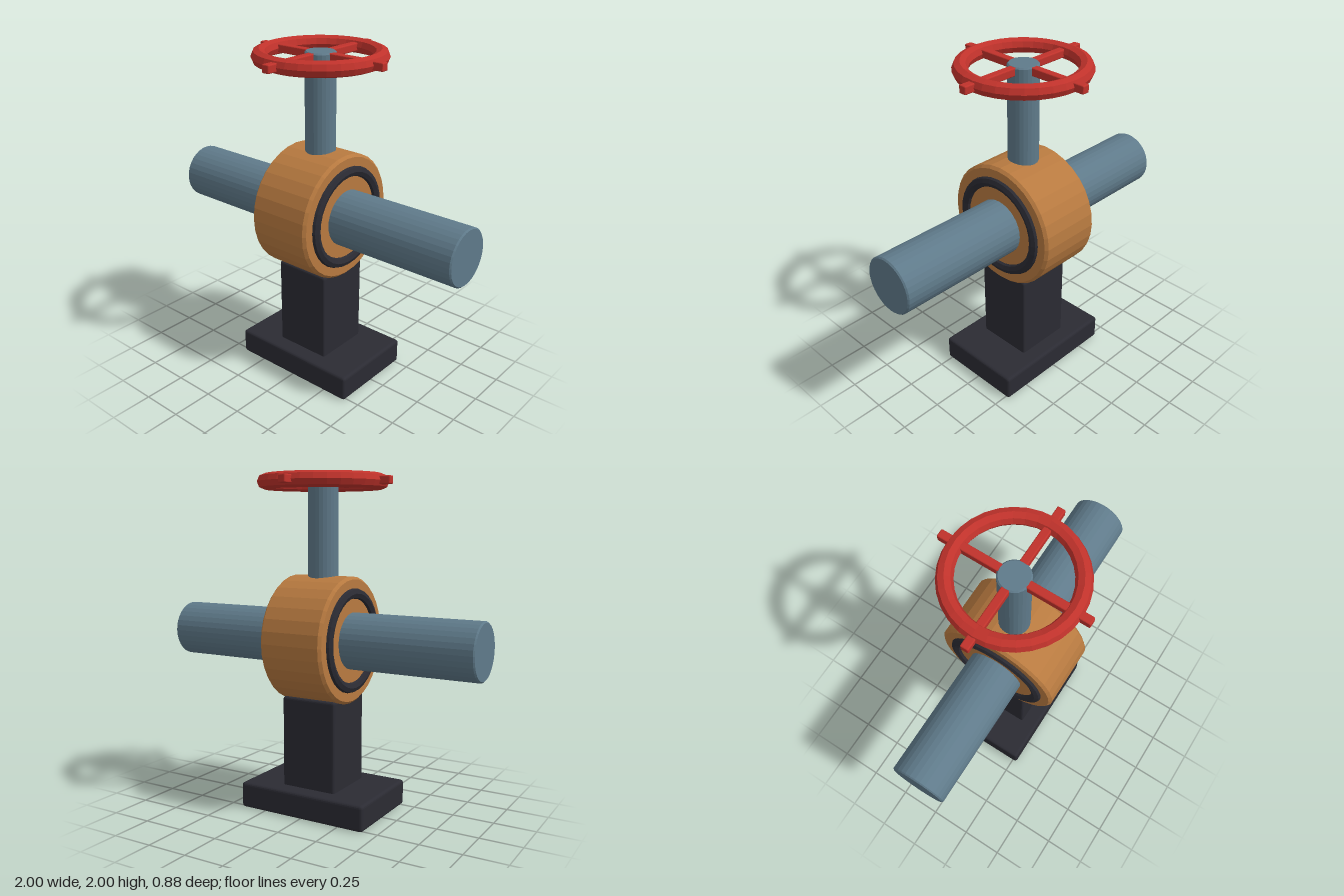
import * as THREE from 'three';
import { RoundedBoxGeometry } from 'three/addons/geometries/RoundedBoxGeometry.js';

const material = (name, color) => {
  const m = new THREE.MeshStandardMaterial({ color, flatShading: true });
  m.name = name;
  return m;
};

// Solid cylinder along y with small chamfers on both rims
function chamferedCylinder(radius, length, chamfer, sides) {
  const h = length / 2;
  const profile = [
    [0, -h], [radius - chamfer, -h], [radius, -h + chamfer],
    [radius, h - chamfer], [radius - chamfer, h], [0, h],
  ].map(([x, y]) => new THREE.Vector2(x, y));
  return new THREE.LatheGeometry(profile, sides);
}

export function createModel() {
  const brass = material('brass', 0xb87a40);
  const steel = material('steel blue', 0x5f7a8a);
  const iron = material('dark iron', 0x2b2b33);
  const red = material('red paint', 0xc0322b);

  const model = new THREE.Group();
  model.name = 'valve';
  const add = (name, geometry, mat, x, y, z, parent = model) => {
    const mesh = new THREE.Mesh(geometry, mat);
    mesh.name = name;
    mesh.position.set(x, y, z);
    parent.add(mesh);
    return mesh;
  };
  const axisY = 1.04;

  // Pedestal
  add('base', new RoundedBoxGeometry(0.83, 0.155, 0.555, 2, 0.018), iron, 0, 0.0785, 0);
  add('post', new RoundedBoxGeometry(0.353, 0.58, 0.353, 2, 0.015), iron, 0, 0.41, 0);

  // Valve body and the pipe running through it
  add('body', chamferedCylinder(0.375, 0.4, 0.016, 32).rotateZ(Math.PI / 2), brass, 0, axisY, 0);
  add('pipe', chamferedCylinder(0.167, 2, 0.008, 32).rotateZ(Math.PI / 2), steel, 0, axisY, 0);

  // Sealing ring on each face of the body
  for (const side of [-1, 1]) {
    const ring = new THREE.TorusGeometry(0.277, 0.034, 8, 32).rotateY(Math.PI / 2);
    add(side > 0 ? 'leftRing' : 'rightRing', ring, iron, side * 0.191, axisY, 0);
  }

  // Stem
  add('stem', chamferedCylinder(0.089, 0.68, 0.008, 24), steel, 0, 1.64, 0);

  // Handwheel: rim and two crossing bars that poke out past it
  const wheel = new THREE.Group();
  wheel.name = 'handwheel';
  wheel.position.y = 1.955;
  model.add(wheel);
  add('rim', new THREE.TorusGeometry(0.338, 0.045, 8, 32).rotateX(Math.PI / 2), red, 0, 0, 0, wheel);
  for (let i = 0; i < 2; i++) {
    const bar = new RoundedBoxGeometry(0.875, 0.047, 0.047, 2, 0.007);
    add('spokeBar', bar, red, 0, 0, 0, wheel).rotation.y = i * Math.PI / 2;
  }
  return model;
}
